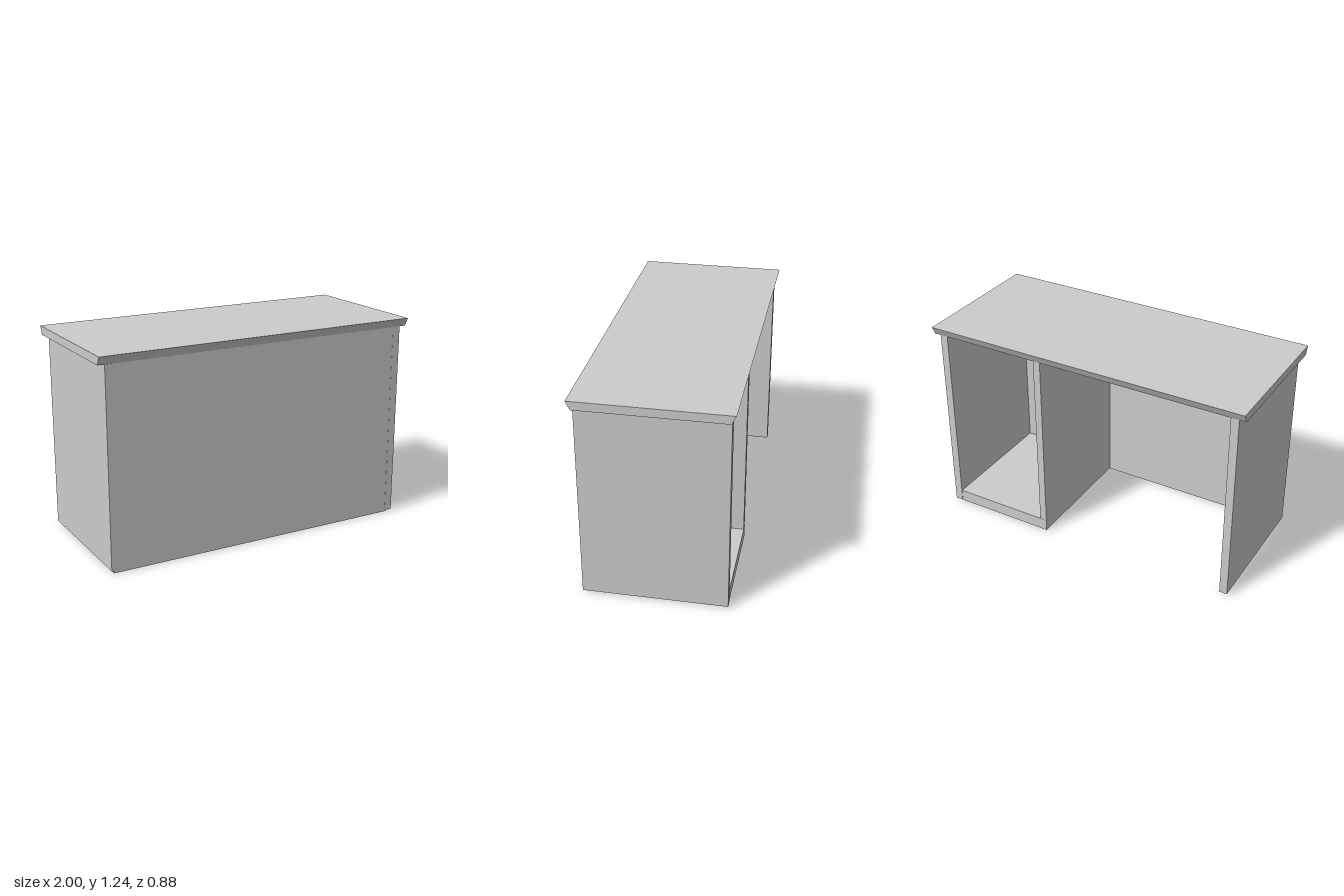
import * as THREE from 'three';

export function createModel() {
  const desk = new THREE.Group();
  desk.name = 'desk';
  const material = new THREE.MeshStandardMaterial({ color: 0xcccccc, flatShading: true });

  // Board given by its minimum and maximum corners
  function board(name, [x0, y0, z0], [x1, y1, z1]) {
    const mesh = new THREE.Mesh(new THREE.BoxGeometry(x1 - x0, y1 - y0, z1 - z0), material);
    mesh.position.set((x0 + x1) / 2, (y0 + y1) / 2, (z0 + z1) / 2);
    mesh.name = name;
    desk.add(mesh);
  }

  const underside = 1.19;

  // Table top: long edges slope outward towards the upper face
  const section = new THREE.Shape([
    new THREE.Vector2(-0.415, underside),
    new THREE.Vector2(0.415, underside),
    new THREE.Vector2(0.44, 1.24),
    new THREE.Vector2(-0.44, 1.24),
  ]);
  const topGeometry = new THREE.ExtrudeGeometry(section, { depth: 2, bevelEnabled: false });
  topGeometry.translate(0, 0, -1);
  topGeometry.rotateY(Math.PI / 2);
  const top = new THREE.Mesh(topGeometry, material);
  top.name = 'tableTop';
  desk.add(top);

  // Front panel and the two end panels
  board('frontPanel', [-0.945, 0, 0.375], [0.92, underside, 0.414]);
  board('leftEndPanel', [0.912, 0.008, -0.415], [0.96, underside, 0.415]);
  board('rightEndPanel', [-0.96, 0.016, -0.415], [-0.912, underside, 0.417]);

  // Open cabinet on the left: base board and inner divider
  board('cabinetBase', [0.268, 0.006, -0.413], [0.912, 0.08, 0.375]);
  board('cabinetDivider', [0.268, 0.08, -0.412], [0.312, underside, 0.375]);

  return desk;
}
